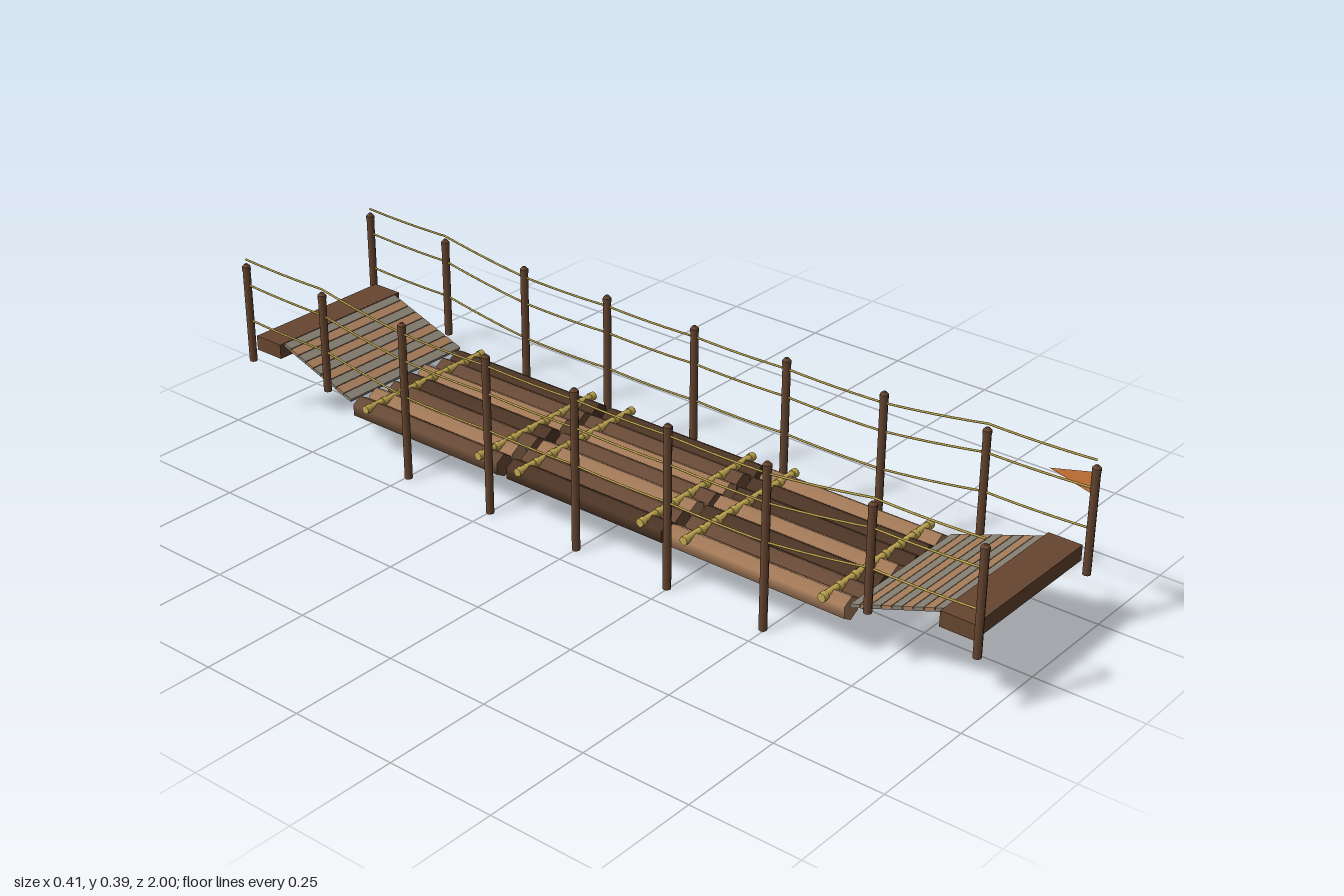
import * as THREE from 'three';

const mat = (name, color, side = THREE.FrontSide) => {
  const m = new THREE.MeshStandardMaterial({ color, side });
  m.name = name;
  return m;
};

export function createModel() {
  const model = new THREE.Group();
  model.name = 'logRaftBridge';

  const lightWood = mat('light wood', 0xa67c5a);
  const midWood = mat('mid wood', 0x6b4c38);
  const darkWood = mat('dark wood', 0x4e3626);
  const postWood = mat('post wood', 0x64442f);
  const beamWood = mat('beam wood', 0x664530);
  const greyWood = mat('weathered wood', 0x867f72);
  const rope = mat('rope', 0xc2a850);
  const orange = mat('flag orange', 0xd07838, THREE.DoubleSide);

  const add = (parent, name, geo, material, x = 0, y = 0, z = 0) => {
    const mesh = new THREE.Mesh(geo, material);
    mesh.name = name;
    mesh.position.set(x, y, z);
    parent.add(mesh);
    return mesh;
  };

  // Floating deck: three sections of seven six-sided logs
  const PITCH = 0.0527;
  const woods = { l: lightWood, m: midWood, d: darkWood };
  const sections = [
    { z: 0.459, len: 0.448, tones: 'lmdlddl' },
    { z: 0, len: 0.434, tones: 'dmlmlmd' },
    { z: -0.459, len: 0.448, tones: 'mlmdlmd' },
  ];
  sections.forEach((s, k) => {
    const group = new THREE.Group();
    group.name = 'deckSection' + (k + 1);
    model.add(group);
    for (let i = 0; i < 7; i++) {
      const length = s.len - 0.004 * ((i * 3 + k) % 3);
      const shift = 0.004 * ((i * 5 + k * 2) % 3 - 1);
      const geo = new THREE.CylinderGeometry(0.0265, 0.0265, length, 6).rotateX(Math.PI / 2);
      add(group, 'log', geo, woods[s.tones[i]], (i - 3) * PITCH, 0.1035, s.z + shift);
    }
  });

  // Lashings across the logs, knotted over every gap
  const rodGeo = new THREE.CylinderGeometry(0.0075, 0.0075, 0.38, 8).rotateZ(Math.PI / 2);
  const knotGeo = new THREE.CylinderGeometry(0.01, 0.01, 0.014, 8).rotateZ(Math.PI / 2);
  for (const z of [0.63, 0.285, 0.17, -0.17, -0.285, -0.63]) {
    const group = new THREE.Group();
    group.name = 'lashing';
    model.add(group);
    add(group, 'lashingRod', rodGeo, rope, 0, 0.1245, z);
    for (let i = 0; i < 8; i++) {
      add(group, 'knot', knotGeo, rope, (i - 3.5) * PITCH, 0.1235, z);
    }
  }

  // Landing beam and slatted ramp at each end
  const slatGeo = new THREE.BoxGeometry(0.356, 0.006, 0.0235);
  for (const end of [1, -1]) {
    const landing = new THREE.Group();
    landing.name = end > 0 ? 'frontLanding' : 'backLanding';
    landing.rotation.y = end > 0 ? 0 : Math.PI;
    model.add(landing);
    add(landing, 'landingBeam', new THREE.BoxGeometry(0.384, 0.035, 0.078), beamWood, 0, 0.1845, 0.94);

    const ramp = new THREE.Group();
    ramp.name = 'ramp';
    ramp.position.set(0, 0.16, 0.797);
    ramp.rotation.x = -Math.atan2(0.075, 0.215);
    landing.add(ramp);
    add(ramp, 'rampBoard', new THREE.BoxGeometry(0.354, 0.003, 0.226), greyWood, 0, -0.003, 0);
    for (let i = 0; i < 9; i++) {
      add(ramp, 'slat', slatGeo, i % 2 ? lightWood : greyWood, 0, 0.001, (i - 4) * 0.0255);
    }
  }

  // Railing posts: inner ones reach the ground, outer ones stand on the banks
  const POST_X = 0.197;
  const STEP = 0.2477;
  for (const side of [1, -1]) {
    for (let i = -4; i <= 4; i++) {
      const bottom = Math.abs(i) > 2 ? 0.138 : 0;
      const height = 0.366 - bottom;
      const post = new THREE.Group();
      post.name = 'railPost';
      post.position.set(side * POST_X, 0, i * STEP);
      model.add(post);
      add(post, 'postShaft', new THREE.CylinderGeometry(0.009, 0.009, height, 8), postWood, 0, bottom + height / 2, 0);
      add(post, 'postCap', new THREE.CylinderGeometry(0.0098, 0.0098, 0.01, 8), postWood, 0, 0.37, 0);
      add(post, 'postTip', new THREE.CylinderGeometry(0.004, 0.0098, 0.006, 8), postWood, 0, 0.378, 0);
    }
  }

  // Three rail ropes per side, sagging slightly between the posts
  const ropeLevels = [
    { mid: 0.355, shoulder: 0.389, end: 0.392 },
    { mid: 0.29, shoulder: 0.325, end: 0.33 },
    { mid: 0.202, shoulder: 0.237, end: 0.241 },
  ];
  for (const side of [1, -1]) {
    for (const level of ropeLevels) {
      const heightAt = (i) => [level.mid, level.mid, level.mid, level.shoulder, level.end][Math.abs(i)];
      for (let i = -4; i < 4; i++) {
        const a = new THREE.Vector3(side * POST_X, heightAt(i), i * STEP);
        const b = new THREE.Vector3(side * POST_X, heightAt(i + 1), (i + 1) * STEP);
        const dip = a.clone().lerp(b, 0.5);
        dip.y -= 0.005;
        const curve = new THREE.QuadraticBezierCurve3(a, dip, b);
        add(model, 'railRope', new THREE.TubeGeometry(curve, 6, 0.0024, 6), rope);
      }
    }
  }

  // Pennant on the front left post, pointing backwards
  const pennant = new THREE.Shape();
  pennant.moveTo(0, 0.025);
  pennant.lineTo(0.1, 0);
  pennant.lineTo(0, -0.025);
  pennant.closePath();
  const flag = add(model, 'flag', new THREE.ShapeGeometry(pennant), orange, POST_X, 0.34, 0.988);
  flag.rotation.y = Math.PI / 2;

  return model;
}
